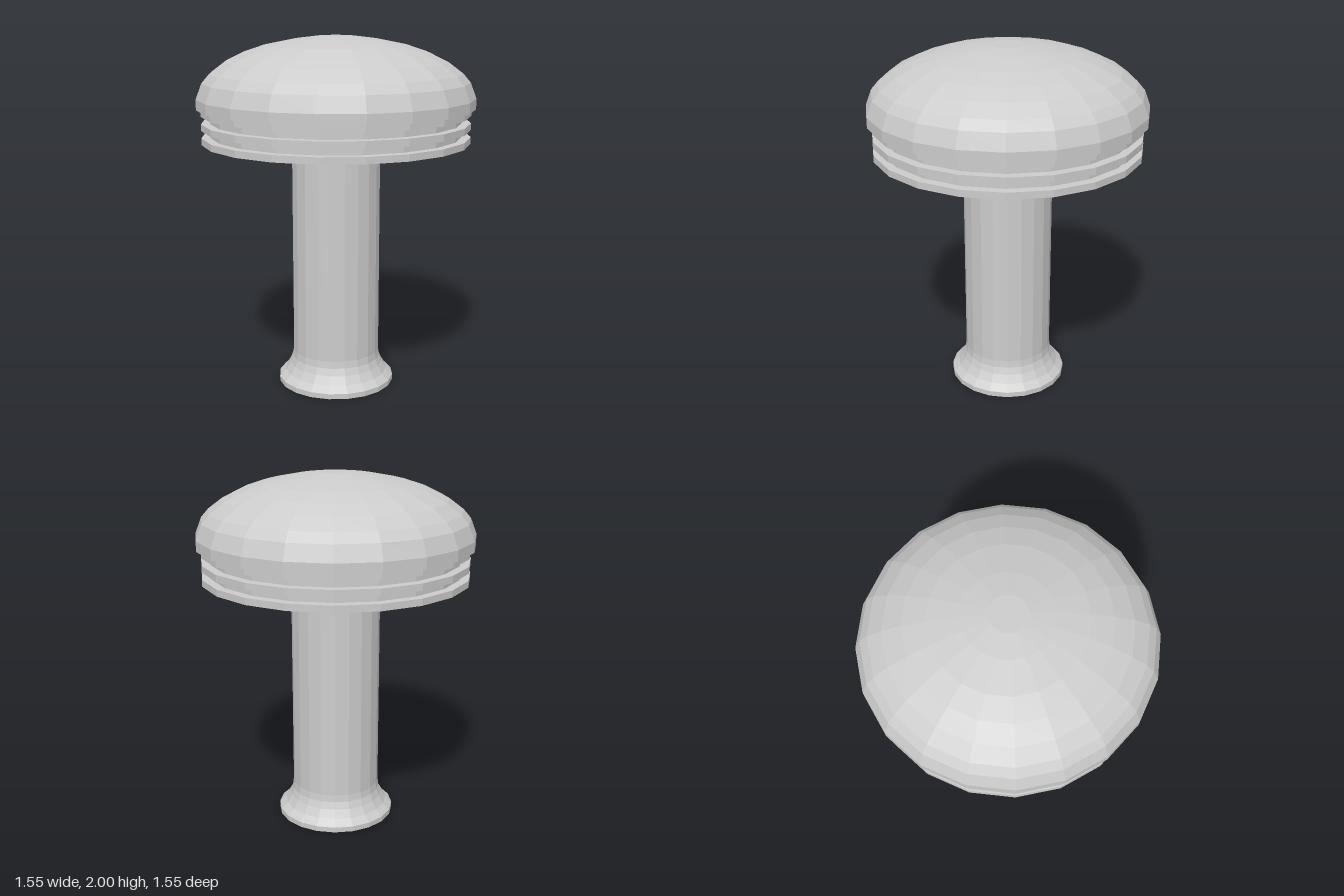
import * as THREE from 'three';

const SIDES = 20;

export function createModel() {
  const group = new THREE.Group();
  const material = new THREE.MeshStandardMaterial({ color: 0xcccccc, flatShading: true });

  // Turned part from a bottom-to-top list of [radius, height]
  const turn = (name, profile) => {
    const points = profile.map(([r, y]) => new THREE.Vector2(r, y));
    const mesh = new THREE.Mesh(new THREE.LatheGeometry(points, SIDES), material);
    mesh.name = name;
    group.add(mesh);
  };

  // Stem with a flared foot
  turn('stem', [
    [0, 0], [0.335, 0], [0.335, 0.03], [0.297, 0.065], [0.27, 0.11],
    [0.255, 0.15], [0.25, 0.19], [0.25, 1.415],
  ]);

  // Collar: three rings separated by two grooves
  const collar = [[0, 1.415]];
  for (let i = 0; i < 3; i++) {
    const y = 1.415 + i * 0.0775;
    collar.push([0.75, y], [0.75, y + 0.0375]);
    if (i < 2) collar.push([0.7, y + 0.0375], [0.7, y + 0.0775]);
  }
  turn('ringedCollar', collar);

  // Domed cap: short straight rim, then a quarter ellipse
  const dome = [[0, 1.607], [0.775, 1.607], [0.775, 1.665]];
  for (const r of [0.742, 0.7, 0.62, 0.52, 0.4, 0.23, 0.1]) {
    dome.push([r, 1.65 + 0.35 * Math.sqrt(1 - (r / 0.775) ** 2)]);
  }
  dome[dome.length - 1][1] = 2;
  dome.push([0, 2]);
  turn('domedCap', dome);

  return group;
}
